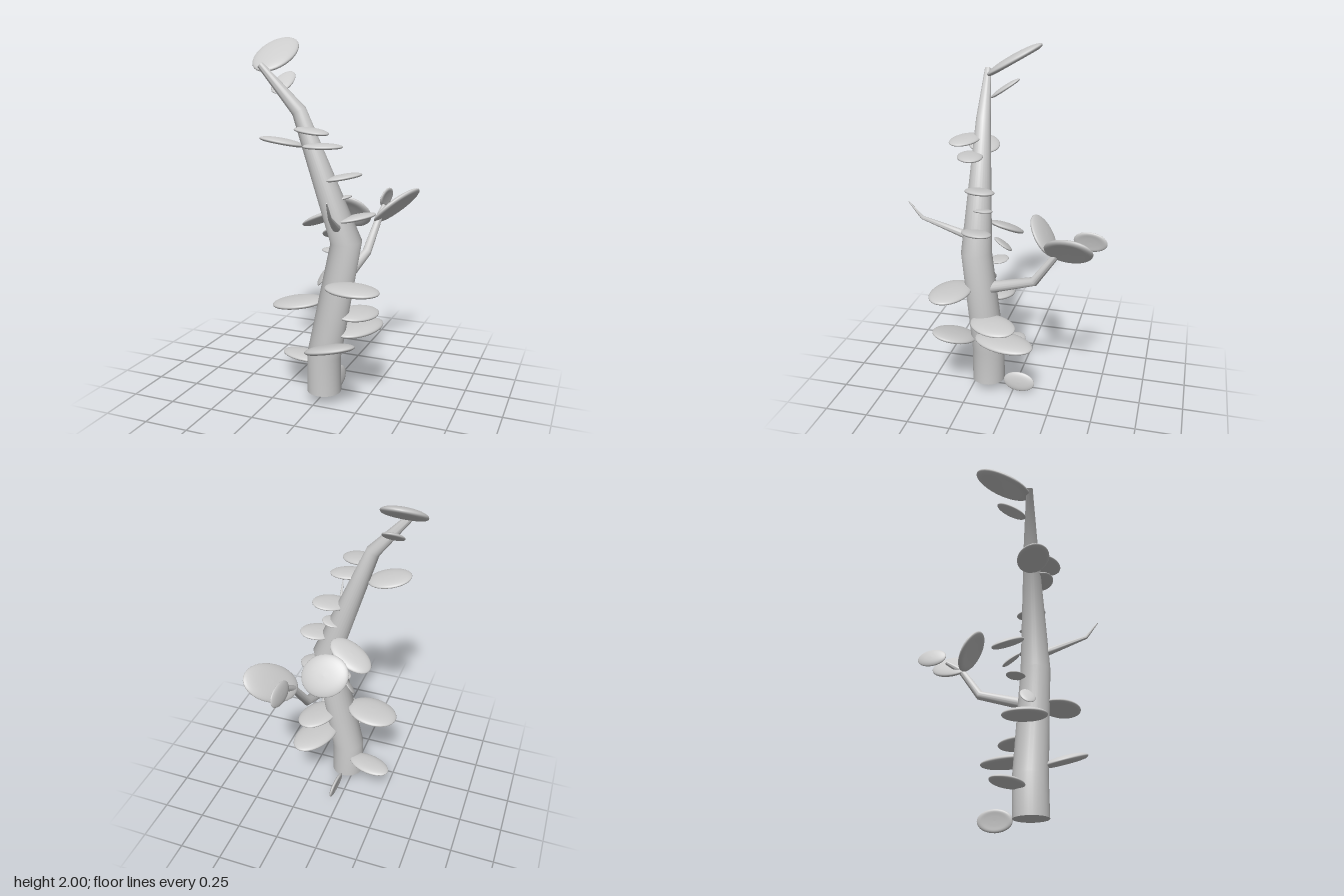
import * as THREE from 'three';
import { mergeVertices, toCreasedNormals } from 'three/addons/utils/BufferGeometryUtils.js';

const V = (p) => new THREE.Vector3(...p);
const UP = new THREE.Vector3(0, 1, 0);
const material = new THREE.MeshStandardMaterial({ color: 0xcccccc });

// Round tapering limb: a cylinder whose rings are moved onto the path points [x, y, z, radius]
function limb(name, path) {
  const pts = path.map(([x, y, z]) => new THREE.Vector3(x, y, z));
  const last = pts.length - 1;
  const turns = pts.map((p, i) => {
    const before = i > 0 ? p.clone().sub(pts[i - 1]).normalize() : new THREE.Vector3();
    const after = i < last ? pts[i + 1].clone().sub(p).normalize() : new THREE.Vector3();
    return new THREE.Quaternion().setFromUnitVectors(UP, before.add(after).normalize());
  });
  let geo = new THREE.CylinderGeometry(1, 1, 1, 28, last);
  const pos = geo.attributes.position;
  const v = new THREE.Vector3();
  for (let k = 0; k < pos.count; k++) {
    const i = Math.round((pos.getY(k) + 0.5) * last);
    v.set(pos.getX(k), 0, pos.getZ(k)).multiplyScalar(path[i][3]);
    v.applyQuaternion(turns[i]).add(pts[i]);
    pos.setXYZ(k, v.x, v.y, v.z);
  }
  geo.deleteAttribute('uv');
  geo.deleteAttribute('normal');
  geo = toCreasedNormals(mergeVertices(geo), 0.9);
  const mesh = new THREE.Mesh(geo, material);
  mesh.name = name;
  return mesh;
}

// Unit leaf pad: domed top, rounded rim, slightly dished underside
const profile = new THREE.SplineCurve([
  [0, -0.4], [0.5, -0.45], [0.8, -0.55], [0.95, -0.35], [1, 0],
  [0.93, 0.35], [0.72, 0.7], [0.4, 0.92], [0, 1],
].map(([x, y]) => new THREE.Vector2(x, y))).getPoints(20);
profile.forEach((p) => { p.x = Math.max(0, p.x); });
const leafGeometry = new THREE.LatheGeometry(profile, 32);

// Leaf at a centre, with its upward normal, long direction and two half-sizes
function leaf(name, centre, normal, along, a, b) {
  const n = V(normal).normalize();
  const d = V(along);
  d.addScaledVector(n, -d.dot(n)).normalize();
  const mesh = new THREE.Mesh(leafGeometry, material);
  mesh.quaternion.setFromRotationMatrix(new THREE.Matrix4().makeBasis(d, n, d.clone().cross(n)));
  mesh.position.set(...centre);
  mesh.scale.set(a, 0.1 * (a + b), b);
  mesh.name = name;
  return mesh;
}

export function createModel() {
  const model = new THREE.Group();
  model.name = 'plant';

  // Crooked trunk and two side branches
  model.add(
    limb('trunk', [
      [0.03, 0.065, 0.155, 0.096], [0.03, 0.28, 0.155, 0.095],
      [0.165, 0.94, 0.175, 0.085], [-0.09, 1.62, 0.2, 0.04], [-0.295, 1.855, 0.23, 0.018],
    ]),
    limb('backBranch', [
      [0.135, 0.71, 0.15, 0.034], [0.17, 0.805, -0.15, 0.026], [0.2, 0.98, -0.27, 0.02],
      [0.2, 1.04, -0.36, 0.012],
    ]),
    limb('frontTwig', [
      [0.13, 1.01, 0.2, 0.026], [0.145, 1.045, 0.29, 0.02],
      [0.19, 1.125, 0.47, 0.01], [0.2, 1.215, 0.54, 0.003],
    ]),
  );

  // Large leaves on the lower trunk
  const lower = new THREE.Group();
  lower.name = 'lowerLeaves';
  [
    [[0.045, 0.065, -0.035], [1, 0.15, 0.05], [0, 0, 1], 0.095, 0.06],
    [[-0.14, 0.215, 0.065], [0, 1, 0], [1, 0, 0.3], 0.135, 0.075],
    [[0.13, 0.385, 0.33], [-0.25, 1, -0.23], [1, 0, 0.45], 0.155, 0.115],
    [[0.19, 0.41, 0.02], [0, 1, 0], [0.3, 0, -1], 0.18, 0.105],
    [[0.2, 0.515, 0.08], [0.08, 1, 0], [0.4, 0, -1], 0.14, 0.1],
    [[-0.125, 0.565, 0.155], [-0.15, 1, 0], [1, 0, 0], 0.15, 0.12],
    [[0.245, 0.72, 0.305], [0, 1, 0], [1, 0, 0.2], 0.155, 0.105],
    [[0.02, 0.725, 0.15], [-0.7, 0.5, 0.4], [0, 1, 0], 0.055, 0.045],
  ].forEach((args) => lower.add(leaf('lowerLeaf', ...args)));

  // Smaller leaves around the middle
  const middle = new THREE.Group();
  middle.name = 'middleLeaves';
  [
    [[0.05, 0.86, 0.08], [0, 1, 0], [1, 0, 0.4], 0.065, 0.05],
    [[0.05, 0.955, 0.055], [-0.3, 0.8, -0.55], [1, 0, 0], 0.065, 0.06],
    [[-0.02, 1.03, 0.05], [-0.4, 1, -0.3], [1, 0, 0.35], 0.138, 0.085],
    [[0.215, 1.07, 0.16], [-0.2, 1, 0], [1, 0, -0.8], 0.11, 0.075],
    [[0.12, 1.165, 0.15], [-0.25, 1, 0], [1, 0, -0.5], 0.065, 0.055],
    [[0.14, 1.28, 0.16], [-0.18, 1, 0], [1, 0, -0.8], 0.105, 0.075],
  ].forEach((args) => middle.add(leaf('middleLeaf', ...args)));

  // Leaves near the top, ending in the large raised one
  const upper = new THREE.Group();
  upper.name = 'upperLeaves';
  [
    [[0.055, 1.445, 0.235], [0, 1, 0], [1, 0, -0.3], 0.105, 0.07],
    [[-0.18, 1.46, 0.225], [0.15, 1, -0.12], [1, 0, -0.3], 0.12, 0.09],
    [[0.01, 1.525, 0.275], [0.1, 1, 0], [1, 0, 0.4], 0.105, 0.072],
    [[-0.22, 1.765, 0.112], [0.05, 0.83, 0.56], [0.1, 0.56, -0.83], 0.1, 0.055],
    [[-0.28, 1.912, 0.075], [0, 0.87, 0.5], [0, 0.5, -0.87], 0.178, 0.117],
  ].forEach((args) => upper.add(leaf('upperLeaf', ...args)));

  // Upright leaves on the back branch
  const back = new THREE.Group();
  back.name = 'branchLeaves';
  [
    [[0.285, 1.05, -0.35], [-0.7, 0.65, -0.2], [0.55, 0.4, -0.62], 0.17, 0.108],
    [[0.19, 1.075, -0.45], [-1, 0.2, -0.1], [0.05, 0, -1], 0.09, 0.058],
    [[0.05, 1.03, -0.175], [0, 0.57, -0.82], [-1, 0.35, 0.25], 0.135, 0.118],
  ].forEach((args) => back.add(leaf('branchLeaf', ...args)));

  model.add(lower, middle, upper, back);
  return model;
}
